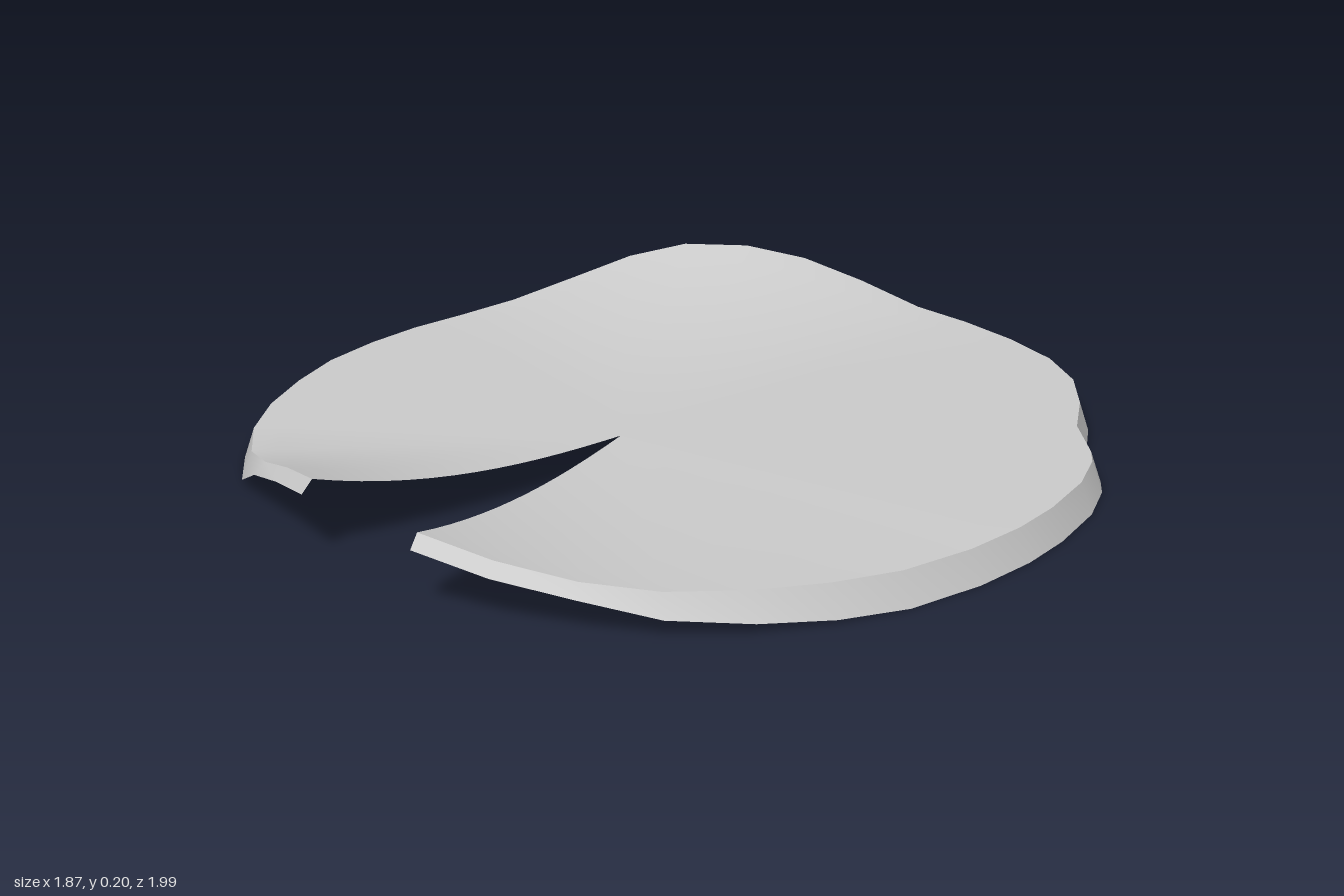
import * as THREE from 'three';

// Outer rim as x, z pairs, running from the left notch tip round the back to the right tip
const RIM = [
  0.15, 0.99, 0.30, 0.94, 0.45, 0.87, 0.58, 0.78, 0.70, 0.66, 0.79, 0.53, 0.86, 0.39,
  0.91, 0.22, 0.93, 0.07, 0.93, -0.06, 0.91, -0.22, 0.87, -0.34, 0.84, -0.39, 0.74, -0.51,
  0.67, -0.65, 0.58, -0.78, 0.46, -0.88, 0.31, -0.95, 0.15, -0.99, 0, -1, -0.16, -0.97,
  -0.31, -0.92, -0.45, -0.85, -0.59, -0.76, -0.70, -0.66, -0.80, -0.54, -0.88, -0.39,
  -0.92, -0.23, -0.94, -0.08, -0.94, 0.07, -0.92, 0.23, -0.87, 0.38, -0.80, 0.53,
  -0.71, 0.66, -0.59, 0.77, -0.45, 0.85, -0.31, 0.91, -0.165, 0.97,
];
// How far the rim curls up, by rim point index (flat elsewhere)
const LIFT = {
  0: 0.088, 1: 0.055, 2: 0.03, 3: 0.015, 4: 0.01, 5: 0.005,
  18: 0.004, 19: 0.012, 20: 0.06, 21: 0.105, 22: 0.13, 23: 0.13, 24: 0.10, 25: 0.05, 26: 0.01,
  34: 0.006, 35: 0.04, 36: 0.08, 37: 0.11,
};
const APEX = { x: -0.01, z: 0.2 };
const CENTRE_Y = 0.08, RIM_Y = 0.07, RINGS = 14;

// Joins rows of points, inner row first, into one smooth surface
function surface(rows) {
  const n = rows[0].length, index = [];
  for (let r = 0; r < rows.length - 1; r++) {
    for (let i = 0; i < n - 1; i++) {
      const a = r * n + i, b = a + n;
      index.push(a, b, b + 1);
      if (r > 0 || rows.length === 2) index.push(a, b + 1, a + 1);
    }
  }
  const geo = new THREE.BufferGeometry().setFromPoints(rows.flat());
  geo.setIndex(index);
  geo.computeVertexNormals();
  return geo;
}

export function createModel() {
  const leafGrey = new THREE.MeshStandardMaterial({ color: 0xcccccc, side: THREE.DoubleSide });
  leafGrey.name = 'leaf grey';

  // Upper and lower edges of the skirt; it narrows where the rim curls up
  const upper = [], lower = [];
  for (let i = 0; i < RIM.length / 2; i++) {
    const x = RIM[2 * i], z = RIM[2 * i + 1], lift = LIFT[i] ?? 0;
    const dx = x - APEX.x, dz = z - APEX.z;
    const k = 1 - 0.025 / Math.hypot(dx, dz);
    const y = RIM_Y + lift;
    const drop = RIM_Y - 0.044 * THREE.MathUtils.smoothstep(lift, 0, 0.028);
    upper.push(new THREE.Vector3(APEX.x + dx * k, y, APEX.z + dz * k));
    lower.push(new THREE.Vector3(x, y - drop, z));
  }

  // Leaf rings grow from the notch apex and curl up towards the rim
  const rings = [];
  for (let r = 0; r <= RINGS; r++) {
    const t = r / RINGS;
    rings.push(upper.map((p) => new THREE.Vector3(
      THREE.MathUtils.lerp(APEX.x, p.x, t),
      CENTRE_Y + (RIM_Y - CENTRE_Y) * t + (p.y - RIM_Y) * t ** 2.5,
      THREE.MathUtils.lerp(APEX.z, p.z, t),
    )));
  }

  const group = new THREE.Group();
  group.name = 'lilyPad';
  const leaf = new THREE.Mesh(surface(rings), leafGrey);
  leaf.name = 'leafTop';
  const skirt = new THREE.Mesh(surface([upper, lower]), leafGrey);
  skirt.name = 'rimSkirt';
  group.add(leaf, skirt);
  return group;
}
